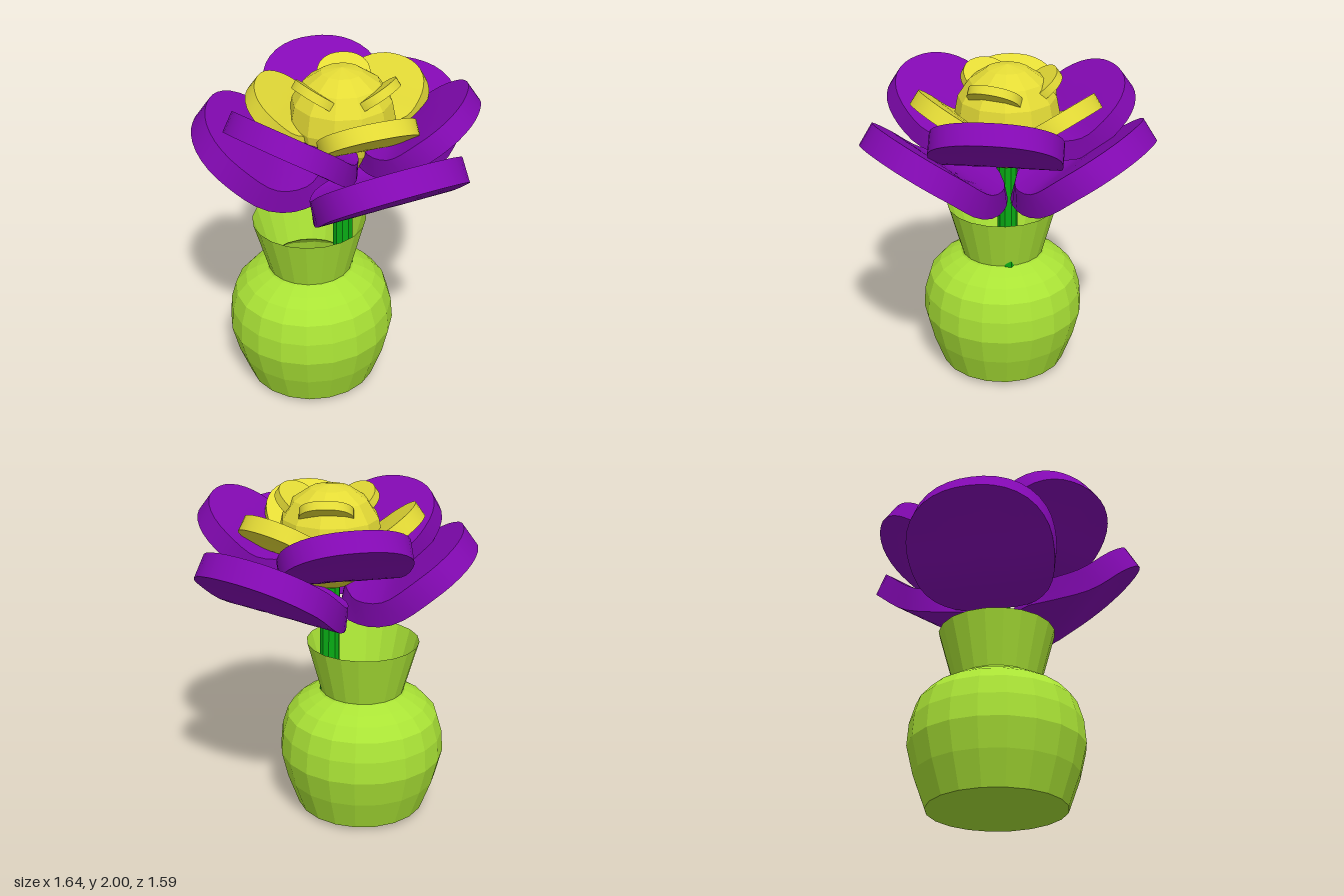
import * as THREE from 'three';
import { toCreasedNormals } from 'three/addons/utils/BufferGeometryUtils.js';

const V2 = (x, y) => new THREE.Vector2(x, y);
const material = (name, color) => {
  const m = new THREE.MeshStandardMaterial({ color });
  m.name = name;
  return m;
};
const flat = (geometry) => toCreasedNormals(geometry, 0.01);

// A thick, slightly squared disc bent upward along a radial curve; +x points outward.
function petalGeometry() {
  const R = 0.415, half = 0.07, power = 2.2;
  const radii = [0.001, 0.1, 0.2, 0.3, 0.37, R];
  const profile = [
    ...radii.map((r) => V2(r, -half)),
    ...radii.slice().reverse().map((r) => V2(r, half)),
  ];
  const geo = new THREE.LatheGeometry(profile, 40);
  const spine = new THREE.CatmullRomCurve3(
    [[0.095, 0.08], [0.18, 0.064], [0.37, 0.1], [0.585, 0.258], [0.808, 0.425]]
      .map(([x, y]) => new THREE.Vector3(x, y, 0)));
  const pos = geo.attributes.position;
  for (let i = 0; i < pos.count; i++) {
    const x = pos.getX(i), h = pos.getY(i), z = pos.getZ(i);
    const bulge = Math.hypot(x, z) / (Math.abs(x) ** power + Math.abs(z) ** power) ** (1 / power);
    const s = x * bulge;
    const u = THREE.MathUtils.clamp((s + R) / (2 * R), 0, 1);
    const p = spine.getPointAt(u), t = spine.getTangentAt(u);
    pos.setXYZ(i, p.x - t.y * h, p.y + t.x * h, z * bulge * (1 + 0.06 * s / R));
  }
  return toCreasedNormals(geo, 0.6);
}

export function createModel() {
  const model = new THREE.Group();
  model.name = 'flowerInVase';
  const purple = material('purple', 0x8409b4);
  const yellow = material('yellow', 0xe4db36);
  const lime = material('lime', 0xaae336);
  lime.side = THREE.DoubleSide;
  const green = material('green', 0x08ab14);

  const add = (parent, name, geo, mat, x, y, z) => {
    const mesh = new THREE.Mesh(geo, mat);
    mesh.name = name;
    mesh.position.set(x, y, z);
    parent.add(mesh);
    return mesh;
  };

  // Vase: faceted round belly, pinched neck and flared open rim
  const vaseProfile = [
    [0.001, 0], [0.2, 0.01], [0.385, 0.025], [0.452, 0.21], [0.49, 0.37],
    [0.48, 0.5], [0.447, 0.61], [0.385, 0.68], [0.32, 0.72], [0.255, 0.75],
    [0.246, 0.76], [0.33, 1.065],
  ].map(([r, y]) => V2(r, y));
  add(model, 'vase', flat(new THREE.LatheGeometry(vaseProfile, 20)), lime, -0.177, 0, 0.19);

  // Flower, standing off-centre in the vase
  const flower = new THREE.Group();
  flower.name = 'flower';
  flower.position.set(-0.033, 0, 0.06);
  model.add(flower);
  add(flower, 'stem', flat(new THREE.CylinderGeometry(0.059, 0.059, 1.3, 10)), green, 0, 0.75, 0);
  add(flower, 'flowerCentre', flat(new THREE.SphereGeometry(0.3, 12, 8)), yellow, 0, 1.7, 0);

  // Four layers of three petals each, smaller towards the top
  const petal = petalGeometry();
  const layers = [
    { name: 'lowerPetal', mat: purple, y: 1.287, scale: 1, angle: 265 },
    { name: 'upperPetal', mat: purple, y: 1.505, scale: 0.865, angle: 95 },
    { name: 'outerYellowPetal', mat: yellow, y: 1.595, scale: 0.645, angle: 271 },
    { name: 'innerYellowPetal', mat: yellow, y: 1.8, scale: 0.36, angle: 109 },
  ];
  for (const { name, mat, y, scale, angle } of layers) {
    for (let i = 0; i < 3; i++) {
      const mesh = add(flower, name + (i + 1), petal, mat, 0.017, y, -0.01);
      mesh.scale.setScalar(scale);
      mesh.rotation.y = -THREE.MathUtils.degToRad(angle + i * 120);
    }
  }
  return model;
}
